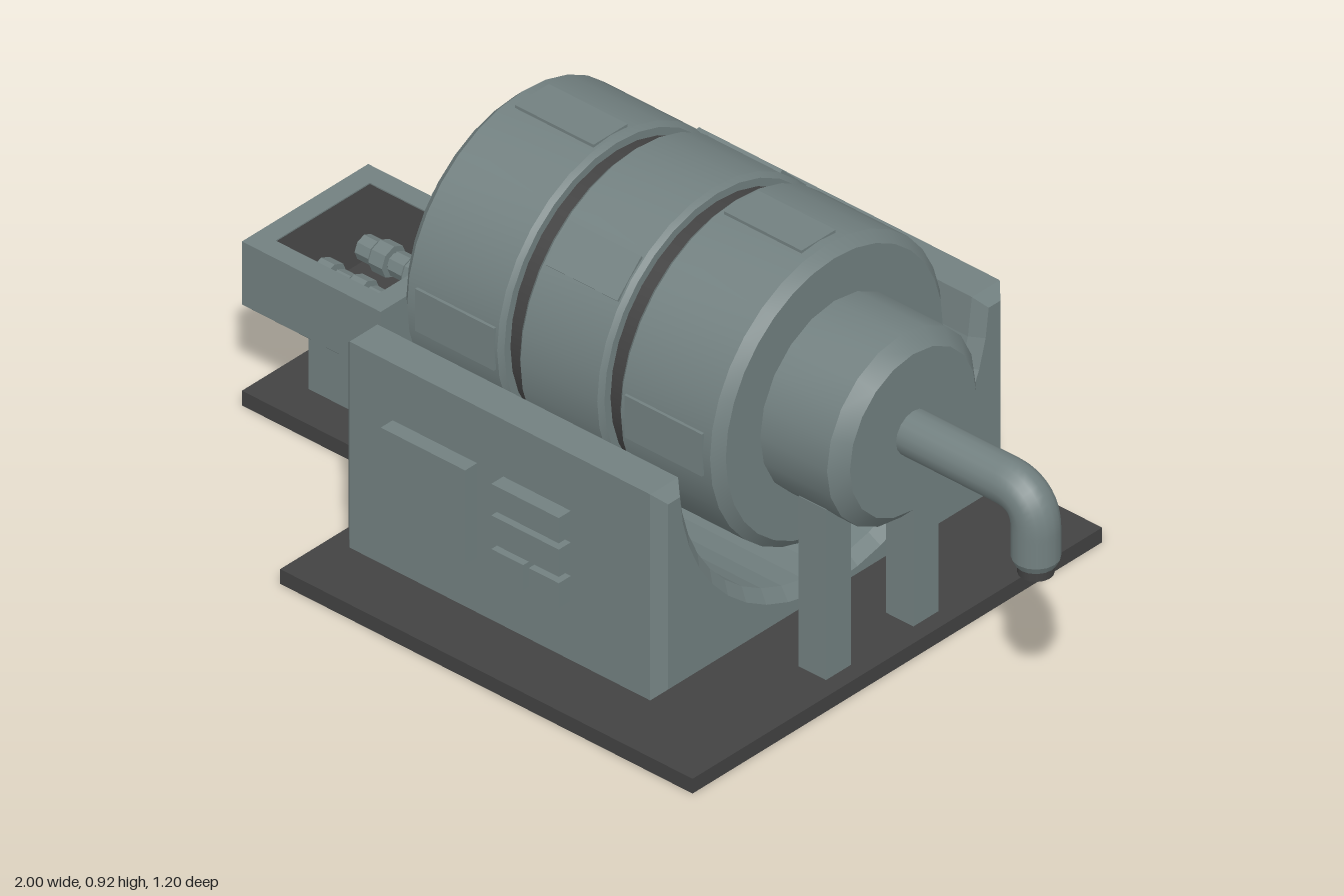
import * as THREE from 'three';
import { toCreasedNormals } from 'three/addons/utils/BufferGeometryUtils.js';

export function createModel() {
  const model = new THREE.Group();
  model.name = 'rotaryDrumMachine';
  const grey = new THREE.MeshStandardMaterial({ color: 0x728080 });
  grey.name = 'greyMetal';
  const dark = new THREE.MeshStandardMaterial({ color: 0x424242 });
  dark.name = 'darkMetal';
  const lining = new THREE.MeshStandardMaterial({ color: 0x424242, side: THREE.DoubleSide });
  lining.name = 'darkLining';

  const add = (name, geometry, material = grey, parent = model) => {
    const mesh = new THREE.Mesh(geometry, material);
    mesh.name = name;
    parent.add(mesh);
    return mesh;
  };
  // Box from its lower and upper limits
  const box = (name, x0, x1, y0, y1, z0, z1, material = grey) => {
    const mesh = add(name, new THREE.BoxGeometry(x1 - x0, y1 - y0, z1 - z0), material);
    mesh.position.set((x0 + x1) / 2, (y0 + y1) / 2, (z0 + z1) / 2);
    return mesh;
  };
  // Solid turned about the x axis at height y, from [radius, x] pairs
  const turned = (name, profile, sides, y, z = 0, material = grey) => {
    const points = profile.map(([r, x]) => new THREE.Vector2(r, x));
    const geometry = new THREE.LatheGeometry(points, sides).rotateZ(-Math.PI / 2);
    const mesh = add(name, toCreasedNormals(geometry, 0.5), material);
    mesh.position.set(0, y, z);
    return mesh;
  };
  // Open four-sided funnel section with half widths top and bottom
  const funnel = (name, top, bottom, y0, y1, x, material) => {
    const geometry = new THREE.CylinderGeometry(
      top * Math.SQRT2, bottom * Math.SQRT2, y1 - y0, 4, 1, true).rotateY(Math.PI / 4);
    const mesh = add(name, toCreasedNormals(geometry, 0.5), material);
    mesh.position.set(x, (y0 + y1) / 2, 0);
  };

  const axisY = 0.58;

  // Floor plates
  box('mainBasePlate', -0.52, 0.58, 0, 0.035, -0.6, 0.6, dark);
  box('hopperBasePlate', -1, -0.63, 0, 0.035, -0.185, 0.185, dark);

  // Drum: three bevelled rings around a dark core
  turned('drumCore', [[0, -0.42], [0.312, -0.42], [0.312, 0.39], [0, 0.39]], 32, axisY, 0, dark);
  const ring = (name, x0, x1, b0, b1) => turned(name, [
    [0, x0], [0.34 - b0, x0], [0.34, x0 + b0], [0.34, x1 - b1], [0.34 - b1, x1], [0, x1],
  ], 32, axisY);
  ring('rightDrumRing', -0.44, -0.168, 0.022, 0.01);
  ring('middleDrumRing', -0.126, 0.099, 0.01, 0.01);
  ring('leftDrumRing', 0.142, 0.412, 0.01, 0.022);

  // Raised plates around each ring
  const drumPlates = [[-0.395, -0.185, 0], [-0.108, 0.085, Math.PI / 4], [0.163, 0.37, 0]];
  for (const [x0, x1, start] of drumPlates) {
    for (let i = 0; i < 4; i++) {
      const pivot = new THREE.Group();
      pivot.name = 'drumPlatePivot';
      pivot.position.set((x0 + x1) / 2, axisY, 0);
      pivot.rotation.x = start + i * Math.PI / 2;
      model.add(pivot);
      add('drumPlate', new THREE.BoxGeometry(x1 - x0, 0.02, 0.1), grey, pivot).position.y = 0.332;
    }
  }

  // End hubs
  turned('outletHub', [[0, 0.4], [0.217, 0.4], [0.217, 0.59], [0.185, 0.622], [0, 0.622]], 20, axisY);
  turned('inletHub', [[0, -0.467], [0.16, -0.467], [0.16, -0.43], [0, -0.43]], 24, axisY);

  // Outlet pipe bending down to a dark nozzle
  const path = new THREE.CurvePath();
  const v = (x, y) => new THREE.Vector3(x, y, 0);
  path.add(new THREE.LineCurve3(v(0.61, axisY), v(0.87, axisY)));
  path.add(new THREE.QuadraticBezierCurve3(v(0.87, axisY), v(0.95, axisY), v(0.95, 0.5)));
  path.add(new THREE.LineCurve3(v(0.95, 0.5), v(0.95, 0.435)));
  add('outletPipe', new THREE.TubeGeometry(path, 40, 0.05, 16));
  add('pipeCollar', new THREE.CylinderGeometry(0.05, 0.042, 0.016, 16)).position.set(0.95, 0.427, 0);
  add('nozzle', new THREE.CylinderGeometry(0.037, 0.037, 0.03, 16), dark).position.set(0.95, 0.412, 0);

  // Cradle with a round trough
  const cradle = new THREE.Shape();
  const trough = 0.453, dip = 0.055;
  cradle.moveTo(-0.487, 0.115);
  cradle.lineTo(0.487, 0.115);
  cradle.lineTo(0.487, 0.555);
  cradle.absarc(0, axisY, trough, -dip, -Math.PI + dip, true);
  cradle.lineTo(-0.487, 0.555);
  cradle.closePath();
  const cradleGeometry = new THREE.ExtrudeGeometry(cradle, {
    depth: 0.802, curveSegments: 10, bevelSegments: 1, bevelSize: 0.025, bevelThickness: 0.025,
  }).rotateY(Math.PI / 2);
  add('cradle', cradleGeometry).position.x = -0.415;

  // Control panel on the cradle front
  const buttons = [
    [-0.3, -0.075, 0.22, 0.445],
    [-0.005, 0.175, 0.385, 0.445],
    [-0.005, 0.175, 0.305, 0.37],
    [-0.005, 0.08, 0.23, 0.29],
    [0.095, 0.175, 0.23, 0.29],
  ];
  for (const [x0, x1, y0, y1] of buttons) box('controlPanel', x0, x1, y0, y1, 0.5, 0.547);

  // Legs under the outlet hub
  for (const side of [-1, 1]) {
    box('hubLeg', 0.467, 0.54, 0.03, 0.44, side * 0.128 - 0.037, side * 0.128 + 0.037);
  }

  // Round-topped feed column
  const column = new THREE.Shape();
  column.moveTo(-0.1, 0.035);
  column.lineTo(0.1, 0.035);
  column.absarc(0, 0.562, 0.1, 0, Math.PI, false);
  column.closePath();
  const columnGeometry = new THREE.ExtrudeGeometry(column, {
    depth: 0.128, curveSegments: 8, bevelEnabled: false,
  }).rotateY(Math.PI / 2);
  add('feedColumn', toCreasedNormals(columnGeometry, 0.5)).position.x = -0.595;
  box('feedTunnel', -0.907, -0.58, 0.035, 0.157, -0.092, 0.092);

  // Hopper: square rim, tapered underside, dark lining and floor
  const hopperX = -0.815;
  const square = (target, h) => {
    target.moveTo(-h, -h);
    target.lineTo(h, -h);
    target.lineTo(h, h);
    target.lineTo(-h, h);
    target.closePath();
    return target;
  };
  const rim = square(new THREE.Shape(), 0.185);
  rim.holes.push(square(new THREE.Path(), 0.138));
  const rimGeometry = new THREE.ExtrudeGeometry(rim, { depth: 0.15, bevelEnabled: false }).rotateX(-Math.PI / 2);
  add('hopperRim', rimGeometry).position.set(hopperX, 0.24, 0);
  funnel('hopperTaper', 0.185, 0.092, 0.155, 0.24, hopperX, grey);
  funnel('hopperLining', 0.137, 0.095, 0.25, 0.388, hopperX, lining);
  box('hopperFloor', hopperX - 0.1, hopperX + 0.1, 0.245, 0.255, -0.1, 0.1, dark);

  // Pair of toothed crusher rollers
  for (const side of [-1, 1]) {
    const profile = [[0, -0.9]];
    for (let i = 0; i < 4; i++) {
      const x = -0.9 + i * 0.044;
      const r = i % 2 === (side > 0 ? 0 : 1) ? 0.036 : 0.028;
      profile.push([r, x], [r, x + 0.036], [0.02, x + 0.036], [0.02, x + 0.044]);
    }
    profile.push([0, -0.724]);
    turned('crusherRoller', profile, 8, 0.3, side * 0.063);
  }

  return model;
}
